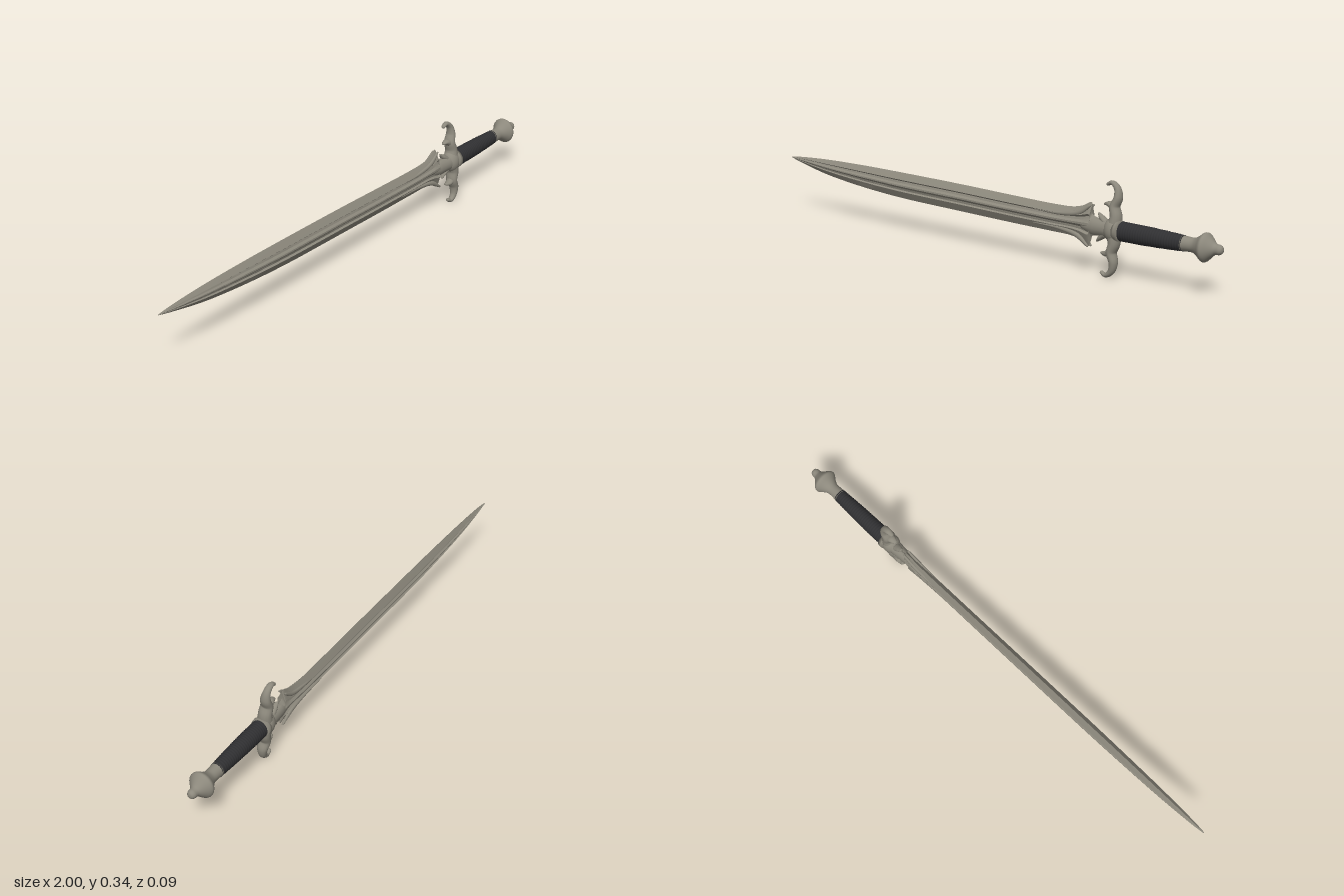
import * as THREE from 'three';
import { toCreasedNormals } from 'three/addons/utils/BufferGeometryUtils.js';

const AXIS = 0.172; // height of the hilt axis

const metal = new THREE.MeshStandardMaterial({ color: 0x8c887c });
metal.name = 'agedSteel';
const leather = new THREE.MeshStandardMaterial({ color: 0x303032 });
leather.name = 'darkLeather';

// Skin a list of equal rings (each a closed loop of Vector3)
function loft(rings, crease) {
  const n = rings[0].length;
  const index = [];
  for (let i = 0; i < rings.length - 1; i++) {
    for (let j = 0; j < n; j++) {
      const a = i * n + j, c = i * n + (j + 1) % n;
      index.push(a, c, a + n, a + n, c, c + n);
    }
  }
  const geo = new THREE.BufferGeometry().setFromPoints(rings.flat());
  geo.setIndex(index);
  geo.computeVertexNormals();
  return crease ? toCreasedNormals(geo, crease) : geo;
}

// Tapering limb in the xy plane; each point is [x, y, radius, depth radius]
function limb(points, sign, zOff = 0) {
  const path = new THREE.CatmullRomCurve3(points.map(p => new THREE.Vector3(p[0], p[1] * sign, 0)));
  const size = new THREE.CatmullRomCurve3(points.map(p => new THREE.Vector3(p[2], p[3], 0)));
  const steps = points.length * 6;
  const rings = [];
  for (let i = -1; i <= steps + 1; i++) {
    const t = Math.min(1, Math.max(0, i / steps));
    const shrink = i < 0 || i > steps ? 0.02 : i === 0 || i === steps ? 0.8 : 1;
    const p = path.getPoint(t), d = path.getTangent(t), s = size.getPoint(t);
    // push the closing ring out a little for a rounded end
    p.addScaledVector(d, i < 0 ? -s.x * 0.4 : i > steps ? s.x * 0.4 : 0);
    const ring = [];
    for (let j = 0; j < 14; j++) {
      const a = j / 14 * Math.PI * 2;
      const r = Math.cos(a) * s.x * shrink;
      ring.push(new THREE.Vector3(p.x - d.y * r, p.y + d.x * r, zOff + Math.sin(a) * s.y * shrink));
    }
    rings.push(ring);
  }
  return loft(rings);
}

// Turned part along x; each point is [radius, x]
function turned(profile) {
  return new THREE.LatheGeometry(profile.map(p => new THREE.Vector2(p[0], p[1])), 28).rotateZ(-Math.PI / 2);
}

// Blade: [x, top edge, bottom edge], with a ridged and grooved section
function bladeGeometry() {
  const outline = new THREE.CatmullRomCurve3([
    [-1, 0.222, 0.219], [-0.95, 0.228, 0.207], [-0.8, 0.236, 0.177], [-0.6, 0.239, 0.154],
    [-0.4, 0.238, 0.141], [-0.1, 0.234, 0.134], [0.15, 0.228, 0.129], [0.32, 0.225, 0.127],
    [0.4, 0.228, 0.125], [0.44, 0.238, 0.116], [0.475, 0.254, 0.1], [0.483, 0.212, 0.136], [0.56, 0.2, 0.145],
  ].map(p => new THREE.Vector3(...p)));
  const half = [[0.72, 0.45], [0.46, 0.85], [0.36, 0.5], [0.2, 0.62], [0.06, 1],
    [-0.06, 1], [-0.2, 0.62], [-0.36, 0.5], [-0.46, 0.85], [-0.72, 0.45]];
  const section = [[1, 0], ...half, [-1, 0], ...half.map(([u, z]) => [-u, -z])];
  const rings = [];
  for (let i = 0; i <= 96; i++) {
    const p = outline.getPoint(i / 96);
    const mid = (p.y + p.z) / 2 - AXIS, w = (p.y - p.z) / 2;
    const depth = 0.019 * Math.min(1, Math.pow(w / 0.048, 0.7));
    rings.push(section.map(([u, z]) => new THREE.Vector3(p.x, mid + u * w, z * depth)));
  }
  return loft(rings, 0.45);
}

export function createModel() {
  const model = new THREE.Group();
  model.name = 'sword';
  const add = (name, geo, mat = metal) => {
    const mesh = new THREE.Mesh(geo, mat);
    mesh.name = name;
    model.add(mesh);
    return mesh;
  };

  add('blade', bladeGeometry());

  // Neck between blade and guard
  add('bladeNeck', limb([[0.44, 0, 0.016, 0.015], [0.49, 0, 0.03, 0.021], [0.53, 0, 0.03, 0.024], [0.58, 0, 0.036, 0.028]], 1));

  for (const sign of [1, -1]) {
    const side = sign > 0 ? 'upper' : 'lower';
    // Raised ribs sweeping out to the flared blade corners, on both faces
    for (const z of [0.011, -0.011]) {
      add(side + 'BladeRib', limb([[0.24, 0.024, 0.002, 0.003], [0.36, 0.027, 0.007, 0.006],
        [0.43, 0.04, 0.009, 0.007], [0.478, 0.072, 0.004, 0.004]], sign, z));
    }
    // Small thorn on the neck
    add(side + 'NeckThorn', limb([[0.54, 0.02, 0.012, 0.016], [0.52, 0.036, 0.009, 0.012], [0.506, 0.05, 0.003, 0.005]], sign));
    // Guard arm with hooked end
    add(side + 'GuardArm', limb([[0.57, 0, 0.03, 0.03], [0.578, 0.045, 0.021, 0.026], [0.57, 0.08, 0.017, 0.024],
      [0.581, 0.112, 0.015, 0.02], [0.575, 0.144, 0.012, 0.014], [0.553, 0.161, 0.008, 0.011], [0.533, 0.152, 0.006, 0.008]], sign));
    // Leaf pointing toward the blade
    add(side + 'GuardLeaf', limb([[0.575, 0.07, 0.016, 0.02], [0.55, 0.086, 0.011, 0.015], [0.528, 0.085, 0.004, 0.007]], sign));
  }

  // Guard centre
  const boss = add('guardBoss', new THREE.SphereGeometry(1, 24, 16).scale(0.036, 0.044, 0.034));
  boss.position.x = 0.572;
  add('gripCollar', turned([[0, 0.58], [0.034, 0.582], [0.037, 0.592], [0.036, 0.604], [0, 0.606]]));

  // Wrapped grip with fine ridges
  const wrap = [[0, 0.598]];
  for (let i = 0; i <= 100; i++) {
    const t = i / 100;
    wrap.push([0.034 - 0.007 * t + 0.002 * Math.sin(Math.PI * t) + 0.0008 * Math.cos(i * Math.PI / 2), 0.6 + 0.252 * t]);
  }
  wrap.push([0, 0.853]);
  add('grip', turned(wrap).scale(1, 1, 0.92), leather);

  // Pommel with flared waist and end knob
  const pommel = new THREE.SplineCurve([[0.027, 0.847], [0.025, 0.87], [0.026, 0.893], [0.036, 0.912], [0.049, 0.929],
    [0.048, 0.94], [0.034, 0.955], [0.021, 0.969], [0.018, 0.978], [0.017, 0.988], [0.011, 0.997], [0, 1]]
    .map(p => new THREE.Vector2(...p))).getPoints(44).map(p => [Math.max(0, p.x), p.y]);
  add('pommel', turned([[0, 0.846], ...pommel]).scale(1, 1, 0.94));

  // Slight roll and yaw of the whole weapon
  model.rotation.set(-0.1, -0.006, 0);
  model.position.set(0, AXIS, -0.007);
  const root = new THREE.Group();
  root.name = 'swordModel';
  root.add(model);
  return root;
}
